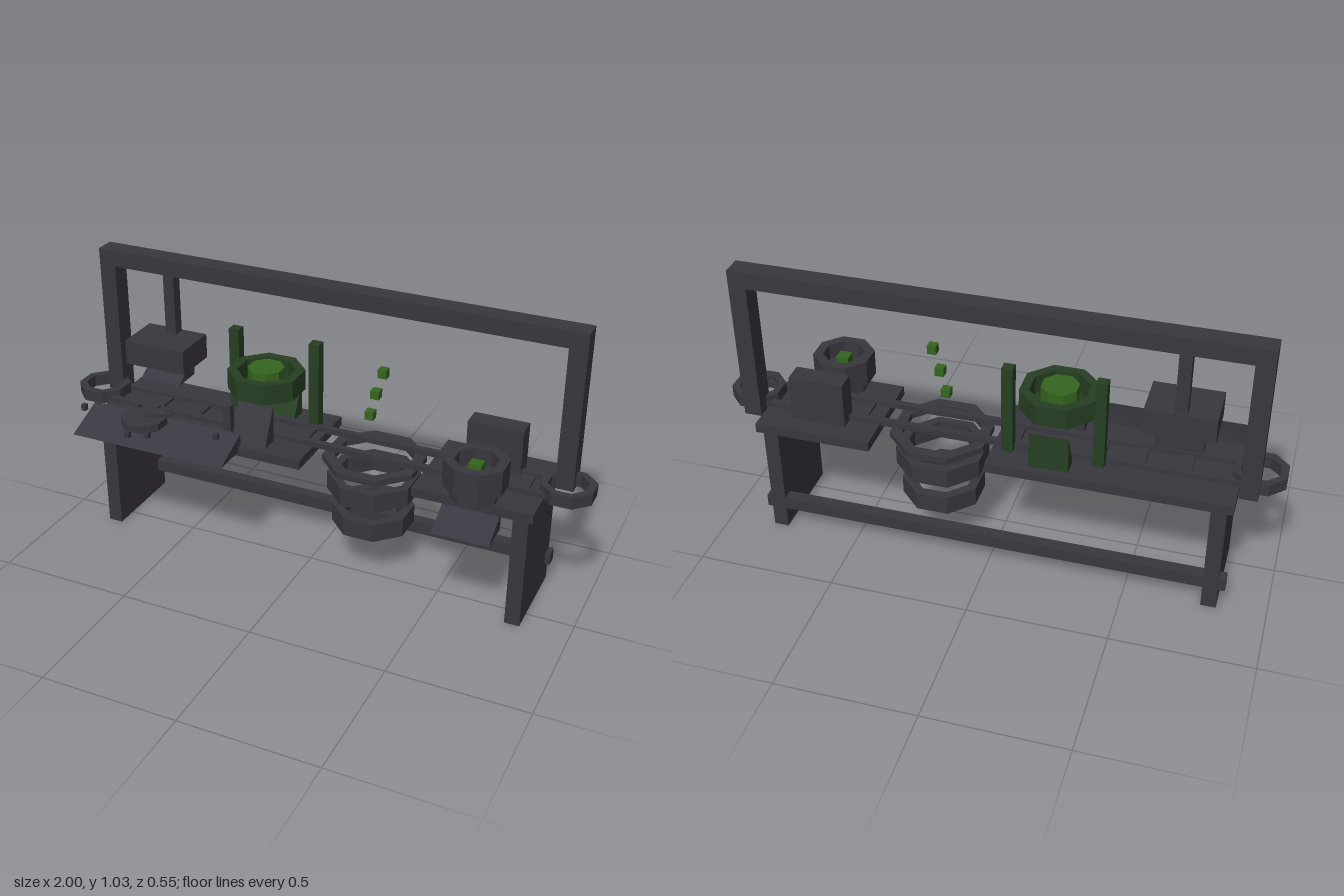
import * as THREE from 'three';

export function createModel() {
  const model = new THREE.Group();
  const mat = (name, color) => {
    const m = new THREE.MeshStandardMaterial({ color });
    m.name = name;
    return m;
  };
  const iron = mat('dark iron', 0x39373f);
  const murk = mat('dark green', 0x263f22);
  const glow = mat('moss green', 0x35651f);

  const add = (name, geometry, material) => {
    const mesh = new THREE.Mesh(geometry, material);
    mesh.name = name;
    model.add(mesh);
    return mesh;
  };
  // Box from its two extreme corners
  const box = (name, x0, x1, y0, y1, z0, z1, material = iron) => {
    const g = new THREE.BoxGeometry(x1 - x0, y1 - y0, z1 - z0);
    g.translate((x0 + x1) / 2, (y0 + y1) / 2, (z0 + z1) / 2);
    return add(name, g, material);
  };
  // Octagon outline with flat sides facing the axes; a = distance to a side
  const octagon = (a, Type) => {
    const pts = [];
    for (let i = 0; i < 8; i++) {
      const t = ((i + 0.5) * Math.PI) / 4;
      const r = a / Math.cos(Math.PI / 8);
      pts.push(new THREE.Vector2(Math.cos(t) * r, Math.sin(t) * r));
    }
    return new Type(pts);
  };
  // Octagonal ring, or a solid prism when inner is 0
  const ring = (name, x, z, y0, y1, outer, inner, material = iron) => {
    const s = octagon(outer, THREE.Shape);
    if (inner) s.holes.push(octagon(inner, THREE.Path));
    const g = new THREE.ExtrudeGeometry(s, { depth: y1 - y0, bevelEnabled: false });
    g.rotateX(-Math.PI / 2);
    g.translate(x, y0, z);
    return add(name, g, material);
  };
  // Wedge: upright at the back (zb), sloping down to the front (zf)
  const wedge = (name, x0, x1, y0, y1, zb, zf, material = iron) => {
    const s = new THREE.Shape([
      new THREE.Vector2(-zf, y0),
      new THREE.Vector2(-zb, y0),
      new THREE.Vector2(-zb, y1),
    ]);
    const g = new THREE.ExtrudeGeometry(s, { depth: x1 - x0, bevelEnabled: false });
    g.rotateY(Math.PI / 2);
    g.translate(x0, 0, 0);
    return add(name, g, material);
  };

  const Z = -0.085; // centre line of the conveyor

  // Bench
  box('leftTableTop', -0.85, 0, 0.43, 0.465, -0.27, 0.1);
  box('rightTableTop', 0.42, 0.845, 0.43, 0.465, -0.27, 0.1);
  for (const s of [-1, 1]) {
    box('legPanel', s * 0.8 - 0.027, s * 0.8 + 0.027, 0, 0.43, -0.25, 0.08);
  }
  box('stretcher', -0.85, 0.845, 0.083, 0.13, -0.25, -0.205);

  // Overhead gantry
  for (const s of [-1, 1]) {
    box('gantryPost', s * 0.886 - 0.032, s * 0.886 + 0.032, 0.45, 0.97, -0.2, -0.125);
  }
  box('gantryBeam', -0.918, 0.918, 0.97, 1.032, -0.2, -0.125);

  // Conveyor rails, slats and end wheels
  for (const z of [-0.142, -0.028]) {
    box('conveyorRail', -0.9, 0.9, 0.463, 0.483, z - 0.012, z + 0.012);
  }
  for (const x of [-0.66, -0.5, -0.36, -0.06, 0.5, 0.76]) {
    box('conveyorSlat', x - 0.025, x + 0.025, 0.463, 0.475, -0.13, -0.04);
  }
  for (const s of [-1, 1]) ring('endWheel', s * 0.91, Z, 0.46, 0.505, 0.09, 0.065);

  // Rings hanging in the gap
  ring('upperRing', 0.21, Z, 0.424, 0.446, 0.172, 0.133);
  ring('middleRing', 0.21, Z, 0.307, 0.378, 0.155, 0.125);
  ring('lowerRing', 0.21, Z, 0.175, 0.245, 0.138, 0.105);

  // Floating cubes above the gap
  for (const [x, y] of [[0.235, 0.775], [0.21, 0.69], [0.19, 0.605]]) {
    box('floatingCube', x - 0.016, x + 0.016, y - 0.016, y + 0.016, Z - 0.016, Z + 0.016, glow);
  }

  // Cauldron with glowing core, chutes and side posts
  ring('cauldronWall', -0.215, Z, 0.622, 0.698, 0.13, 0.098, murk);
  ring('cauldronFloor', -0.215, Z, 0.612, 0.63, 0.1, 0, murk);
  ring('cauldronCore', -0.215, Z, 0.6, 0.708, 0.062, 0, glow);
  wedge('frontChute', -0.285, -0.147, 0.463, 0.605, 0, 0.07);
  wedge('backChute', -0.285, -0.147, 0.463, 0.602, -0.24, -0.17, murk);
  for (const x of [-0.375, -0.055]) {
    box('cauldronPost', x - 0.02, x + 0.02, 0.463, 0.8, -0.182, -0.142, murk);
  }

  // Press
  box('pressRod', -0.66, -0.617, 0.735, 0.97, -0.183, -0.14);
  box('pressHead', -0.76, -0.517, 0.642, 0.735, -0.19, -0.015);
  wedge('pressNose', -0.72, -0.557, 0.577, 0.642, -0.16, -0.045);

  // Sloped work tray with its tools
  wedge('workTray', -0.848, -0.24, 0.445, 0.508, 0.08, 0.235);
  ring('dialPlate', -0.59, 0.155, 0.51, 0.538, 0.077, 0);
  const lever = add('dialLever', new THREE.BoxGeometry(0.1, 0.015, 0.014), iron);
  lever.position.set(-0.545, 0.546, 0.137);
  lever.rotation.y = 0.38;
  box('trayRod', -0.312, -0.282, 0.49, 0.605, 0.045, 0.072);
  for (const [x, z] of [[-0.59, 0.268], [-0.525, 0.243], [-0.845, 0.155],
    [-0.3, 0.15], [-0.668, 0.075], [-0.597, 0.052]]) {
    box('trayPeg', x - 0.009, x + 0.009, 0.51, 0.533, z - 0.009, z + 0.009);
  }

  // Right basin, chute and cabinet
  ring('basinWall', 0.63, 0.058, 0.505, 0.603, 0.103, 0.07);
  ring('basinFloor', 0.63, 0.058, 0.463, 0.545, 0.08, 0);
  box('basinCube', 0.607, 0.653, 0.545, 0.592, 0.038, 0.082, glow);
  wedge('basinChute', 0.53, 0.732, 0.37, 0.435, 0.08, 0.2);
  box('backCabinet', 0.533, 0.732, 0.463, 0.636, -0.2, -0.125);

  return model;
}
